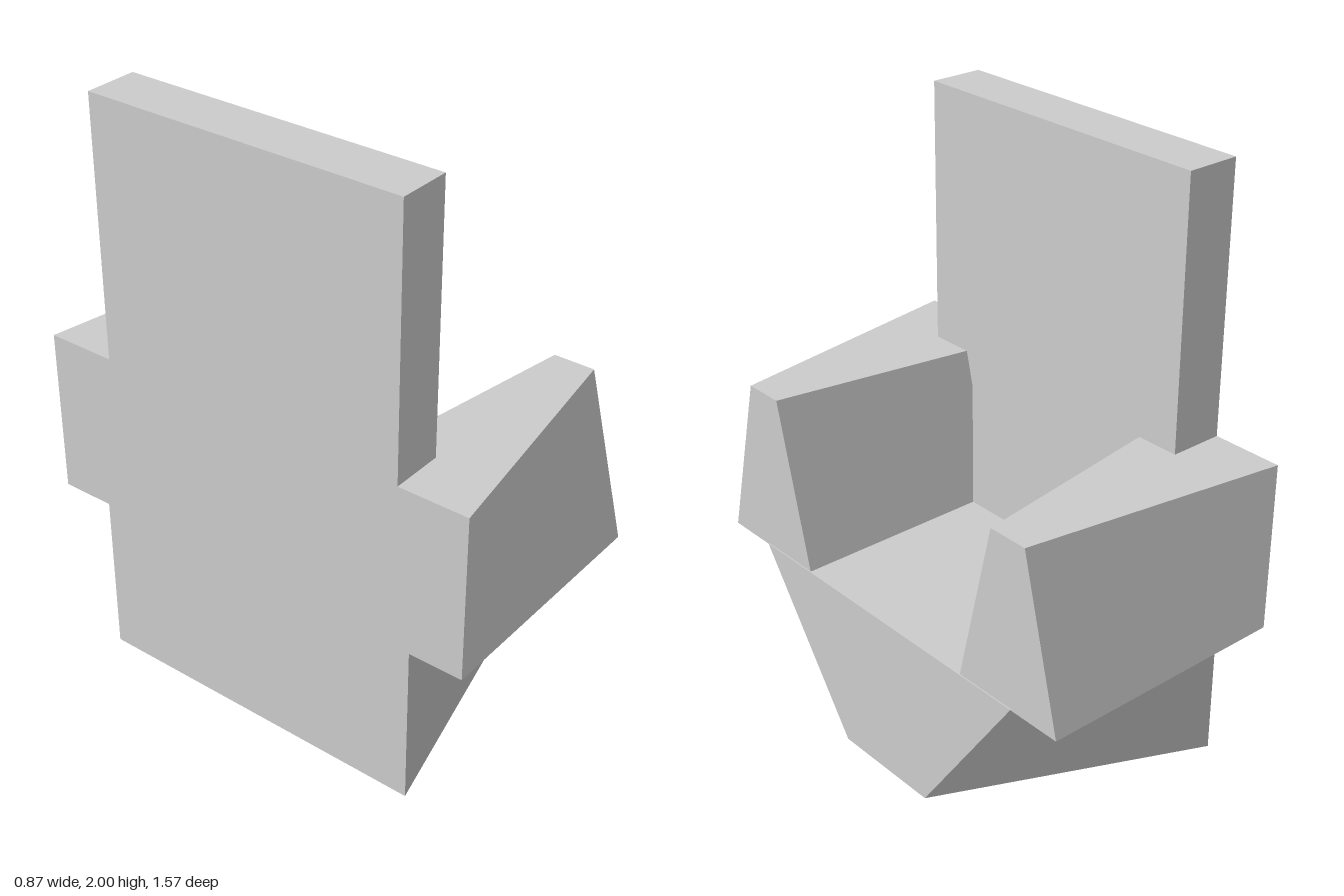
import * as THREE from 'three';

const material = new THREE.MeshStandardMaterial({ color: 0xcccccc });

// Corner signs (x, y, z) of the six faces, counter-clockwise from outside
const FACES = ['--+ +-+ +++ -++', '+-- --- -+- ++-', '+-+ +-- ++- +++',
  '--- --+ -++ -+-', '-++ +++ ++- -+-', '--- +-- +-+ --+'];

// Six-sided block; halfWidth(front, top) gives half the z width at each edge,
// so an edge can be pinched. Each face has one flat normal.
function block(name, [x0, x1], [y0, y1], z, halfWidth) {
  const pos = [], nor = [], idx = [];
  FACES.forEach((face, f) => {
    const quad = face.split(' ').map(([sx, sy, sz]) => {
      const w = halfWidth(sx === '+', sy === '+');
      return new THREE.Vector3(sx === '+' ? x1 : x0, sy === '+' ? y1 : y0, sz === '+' ? z + w : z - w);
    });
    const n = quad[2].clone().sub(quad[0]).cross(quad[3].clone().sub(quad[1])).normalize();
    for (const p of quad) {
      pos.push(...p.toArray());
      nor.push(...n.toArray());
    }
    idx.push(...[0, 1, 2, 0, 2, 3].map((i) => f * 4 + i));
  });
  const geometry = new THREE.BufferGeometry();
  geometry.setAttribute('position', new THREE.Float32BufferAttribute(pos, 3));
  geometry.setAttribute('normal', new THREE.Float32BufferAttribute(nor, 3));
  geometry.setIndex(idx);
  const mesh = new THREE.Mesh(geometry, material);
  mesh.name = name;
  return mesh;
}

export function createModel() {
  const chair = new THREE.Group();
  chair.name = 'armchair';

  // Base, its top forming the seat; the front bottom edge is pinched
  chair.add(block('seatBase', [-0.435, 0.432], [0, 0.567], 0, (front, top) => (front && !top ? 0.2 : 0.6)));

  // Upright slab at the back
  chair.add(block('backrest', [-0.435, -0.255], [0.565, 2], 0, () => 0.547));

  // Armrests; the front top edge is pinched
  for (const [name, z] of [['frontArmrest', 0.577], ['rearArmrest', -0.579]]) {
    chair.add(block(name, [-0.435, 0.428], [0.562, 1.127], z, (front, top) => (front && top ? 0.07 : 0.208)));
  }
  return chair;
}
